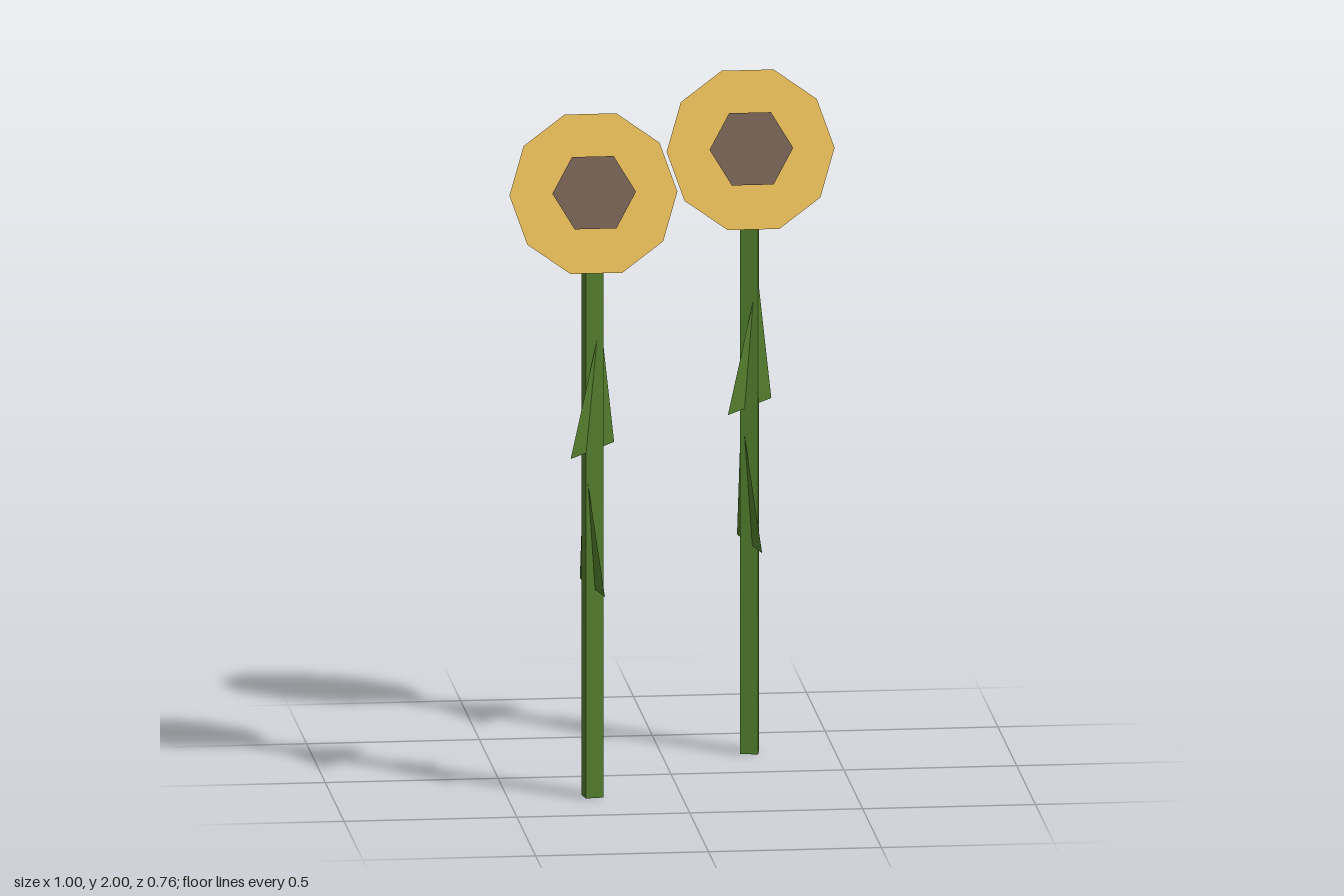
import * as THREE from 'three';

const green = new THREE.MeshStandardMaterial({ name: 'leaf green', color: 0x56822f, side: THREE.DoubleSide, flatShading: true });
const yellow = new THREE.MeshStandardMaterial({ name: 'petal yellow', color: 0xe0b232, side: THREE.DoubleSide, flatShading: true });
const brown = new THREE.MeshStandardMaterial({ name: 'seed brown', color: 0x604028, side: THREE.DoubleSide, flatShading: true });

function addMesh(group, name, geometry, material, x = 0, y = 0, z = 0) {
  const mesh = new THREE.Mesh(geometry, material);
  mesh.name = name;
  mesh.position.set(x, y, z);
  group.add(mesh);
  return mesh;
}

// Flat triangular leaf: base corners pass through the stem, the tip leans outwards
function leafGeometry(halfX, halfZ, tipX, tipZ, height) {
  const geometry = new THREE.BufferGeometry();
  geometry.setAttribute('position', new THREE.Float32BufferAttribute(
    [-halfX, 0, -halfZ, halfX, 0, halfZ, tipX, height, tipZ], 3));
  geometry.computeVertexNormals();
  return geometry;
}

function createFlower(stemTurn) {
  const flower = new THREE.Group();
  flower.name = 'flower';

  // Square stem
  const stem = addMesh(flower, 'stem', new THREE.BoxGeometry(0.052, 1.735, 0.052), green, 0, 0.8675, 0);
  stem.rotation.y = stemTurn;

  // Two leaves crossing the stem
  addMesh(flower, 'lowerLeaf', leafGeometry(0.023, 0.123, -0.025, 0.005, 0.39), green, 0, 0.615, 0);
  addMesh(flower, 'upperLeaf', leafGeometry(-0.074, 0.103, 0.023, 0.013, 0.38), green, 0, 1.02, 0);

  // Flower head tilted slightly upwards
  const head = new THREE.Group();
  head.name = 'flowerHead';
  head.position.set(0, 1.784, 0.027);
  head.rotation.x = -THREE.MathUtils.degToRad(20);
  addMesh(head, 'petals', new THREE.CircleGeometry(0.243, 10), yellow);
  addMesh(head, 'seedCentre', new THREE.CircleGeometry(0.121, 6), brown, 0, 0, 0.022);
  flower.add(head);
  return flower;
}

export function createModel() {
  const model = new THREE.Group();
  model.name = 'sunflowers';
  for (const side of [-1, 1]) {
    const flower = createFlower(side * -0.15);
    flower.position.set(side * 0.255, 0, side * -0.255);
    model.add(flower);
  }
  return model;
}
